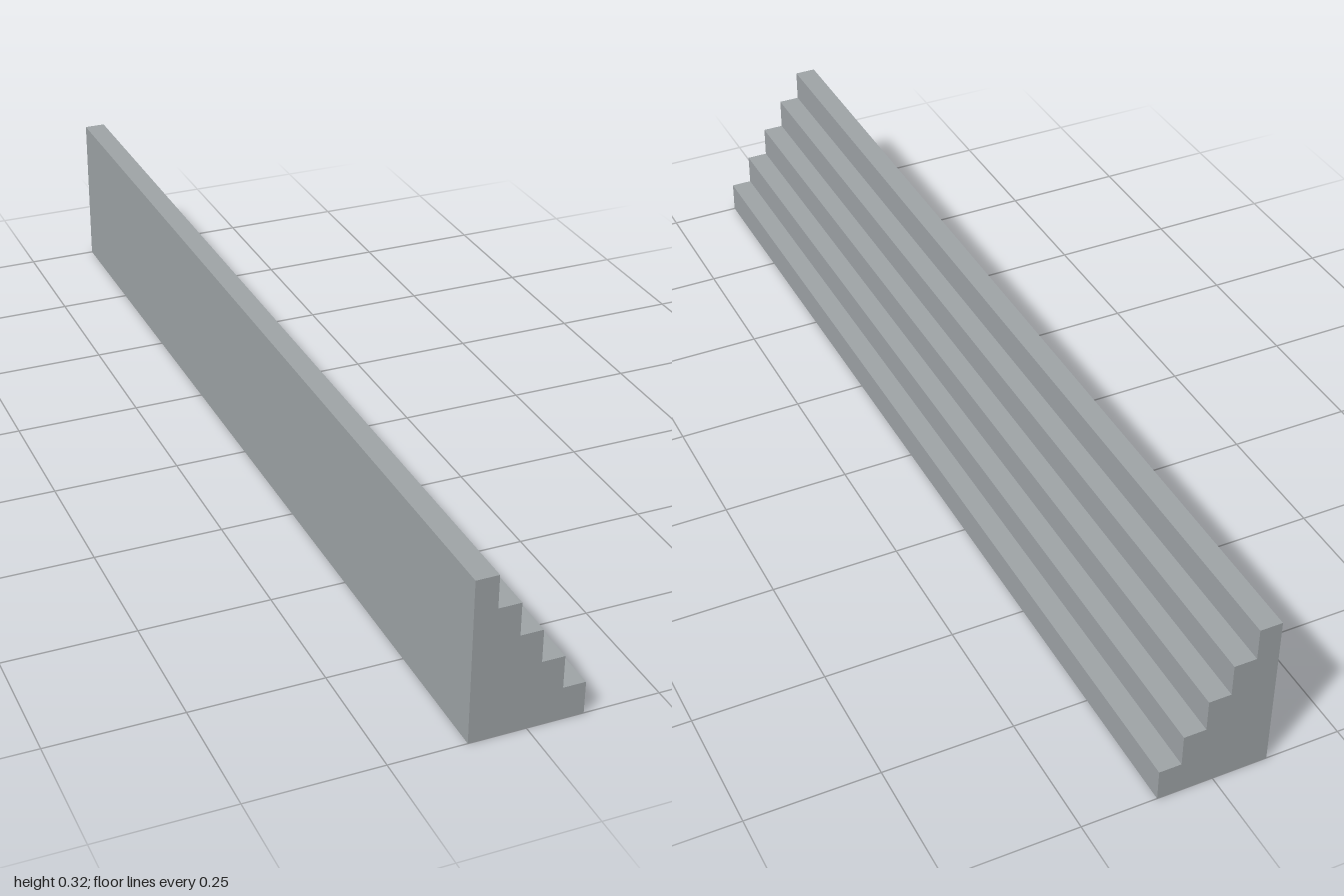
import * as THREE from 'three';

const STEPS = 5, WIDTH = 0.213, HEIGHT = 0.317, LENGTH = 2;

export function createModel() {
  const group = new THREE.Group();
  group.name = 'staircase';

  const stone = new THREE.MeshStandardMaterial({ color: 0x9ea3a6 });
  stone.name = 'grey stone';

  // Stepped profile, rising from right to left
  const run = WIDTH / STEPS, rise = HEIGHT / STEPS;
  const profile = new THREE.Shape();
  profile.moveTo(-WIDTH / 2, 0);
  profile.lineTo(WIDTH / 2, 0);
  for (let i = 0; i < STEPS; i++) {
    const x = WIDTH / 2 - i * run, y = (i + 1) * rise;
    profile.lineTo(x, y);
    profile.lineTo(x - run, y);
  }
  profile.closePath();

  // Solid flight of long steps
  const geometry = new THREE.ExtrudeGeometry(profile, { depth: LENGTH, bevelEnabled: false });
  geometry.translate(0, 0, -LENGTH / 2);
  const steps = new THREE.Mesh(geometry, stone);
  steps.name = 'steps';
  group.add(steps);

  return group;
}
